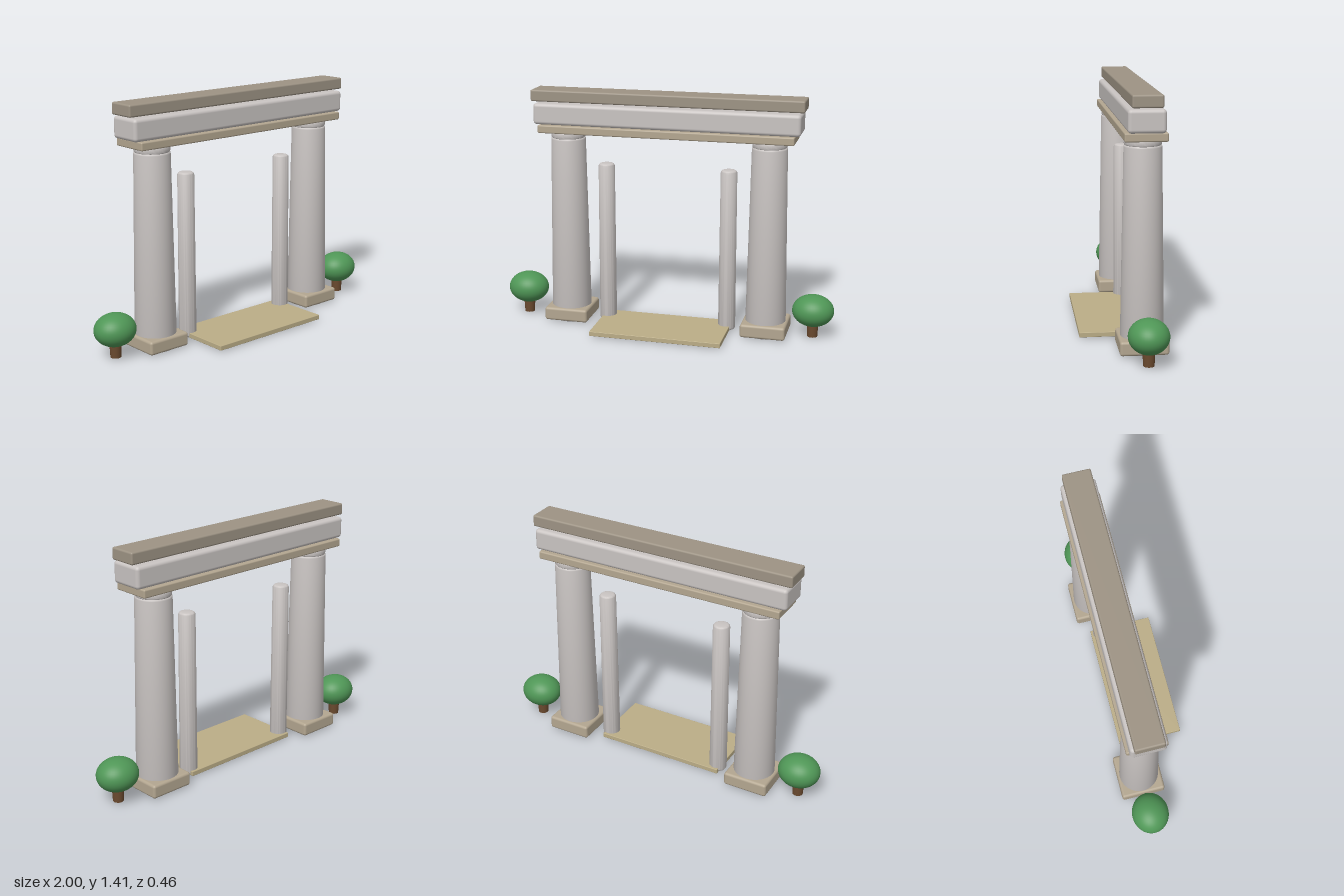
import * as THREE from 'three';
import { RoundedBoxGeometry } from 'three/addons/geometries/RoundedBoxGeometry.js';
import { toCreasedNormals } from 'three/addons/utils/BufferGeometryUtils.js';

const paint = (color) => new THREE.MeshStandardMaterial({ color });
const MAT = {
  stone: paint(0xc9c4c2),
  slab: paint(0x9d9384),
  base: paint(0xb3a690),
  sand: paint(0xbbad87),
  leaf: paint(0x4f9656),
  bark: paint(0x6b4a2f),
};
const Z = -0.097; // centre line of the gateway

function add(parent, name, geometry, material, x, y, z) {
  const mesh = new THREE.Mesh(geometry, material);
  mesh.name = name;
  mesh.position.set(x, y, z);
  parent.add(mesh);
  return mesh;
}

// Rounded block given by its width, depth and vertical range
function block(parent, name, material, w, d, y0, y1, round, x = 0, z = Z) {
  const geometry = new RoundedBoxGeometry(w, y1 - y0, d, 3, round);
  return add(parent, name, geometry, material, x, (y0 + y1) / 2, z);
}

// Closed round shaft, tapered, with rounded rims at both ends
function shaft(rBottom, rTop, y0, y1, bevel) {
  const points = [new THREE.Vector2(0, y0)];
  const steps = 4;
  for (let i = 0; i <= steps; i++) {
    const a = (i / steps) * Math.PI / 2;
    points.push(new THREE.Vector2(rBottom - bevel * (1 - Math.sin(a)), y0 + bevel * (1 - Math.cos(a))));
  }
  for (let i = 0; i <= steps; i++) {
    const a = (i / steps) * Math.PI / 2;
    points.push(new THREE.Vector2(rTop - bevel * (1 - Math.cos(a)), y1 - bevel * (1 - Math.sin(a))));
  }
  points.push(new THREE.Vector2(0, y1));
  return toCreasedNormals(new THREE.LatheGeometry(points, 48), 0.6);
}

function createColumn(x) {
  const column = new THREE.Group();
  column.name = 'column';
  block(column, 'plinth', MAT.base, 0.265, 0.265, 0.01, 0.09, 0.015, x);
  add(column, 'columnShaft', shaft(0.12, 0.102, 0.003, 1.13, 0.012), MAT.stone, x, 0, Z);
  add(column, 'capital', shaft(0.1, 0.1, 1.125, 1.165, 0.01), MAT.stone, x, 0, Z);
  return column;
}

function createTree(x) {
  const tree = new THREE.Group();
  tree.name = 'tree';
  add(tree, 'trunk', new THREE.CylinderGeometry(0.035, 0.03, 0.1, 24), MAT.bark, x, 0.06, Z);
  const crown = add(tree, 'crown', new THREE.SphereGeometry(1, 40, 24), MAT.leaf, x, 0.169, Z);
  crown.scale.set(0.122, 0.094, 0.11);
  return tree;
}

export function createModel() {
  const model = new THREE.Group();
  model.name = 'gateway';

  // Mirrored columns, slim inner posts and trees
  for (const side of [-1, 1]) {
    model.add(createColumn(side * 0.6));
    add(model, 'innerPost', shaft(0.051, 0.048, 0.01, 0.98, 0.017), MAT.stone, side * 0.367, 0, Z);
    model.add(createTree(side * 0.878));
  }

  // Stacked beams across the columns
  block(model, 'lowerBeam', MAT.base, 1.505, 0.228, 1.162, 1.209, 0.008);
  block(model, 'middleBeam', MAT.stone, 1.568, 0.2, 1.209, 1.333, 0.02);
  block(model, 'topSlab', MAT.slab, 1.605, 0.163, 1.342, 1.41, 0.01);

  // Flat threshold reaching forward from between the posts
  block(model, 'threshold', MAT.sand, 0.782, 0.387, 0.01, 0.038, 0.003, 0, 0.0325);

  return model;
}
